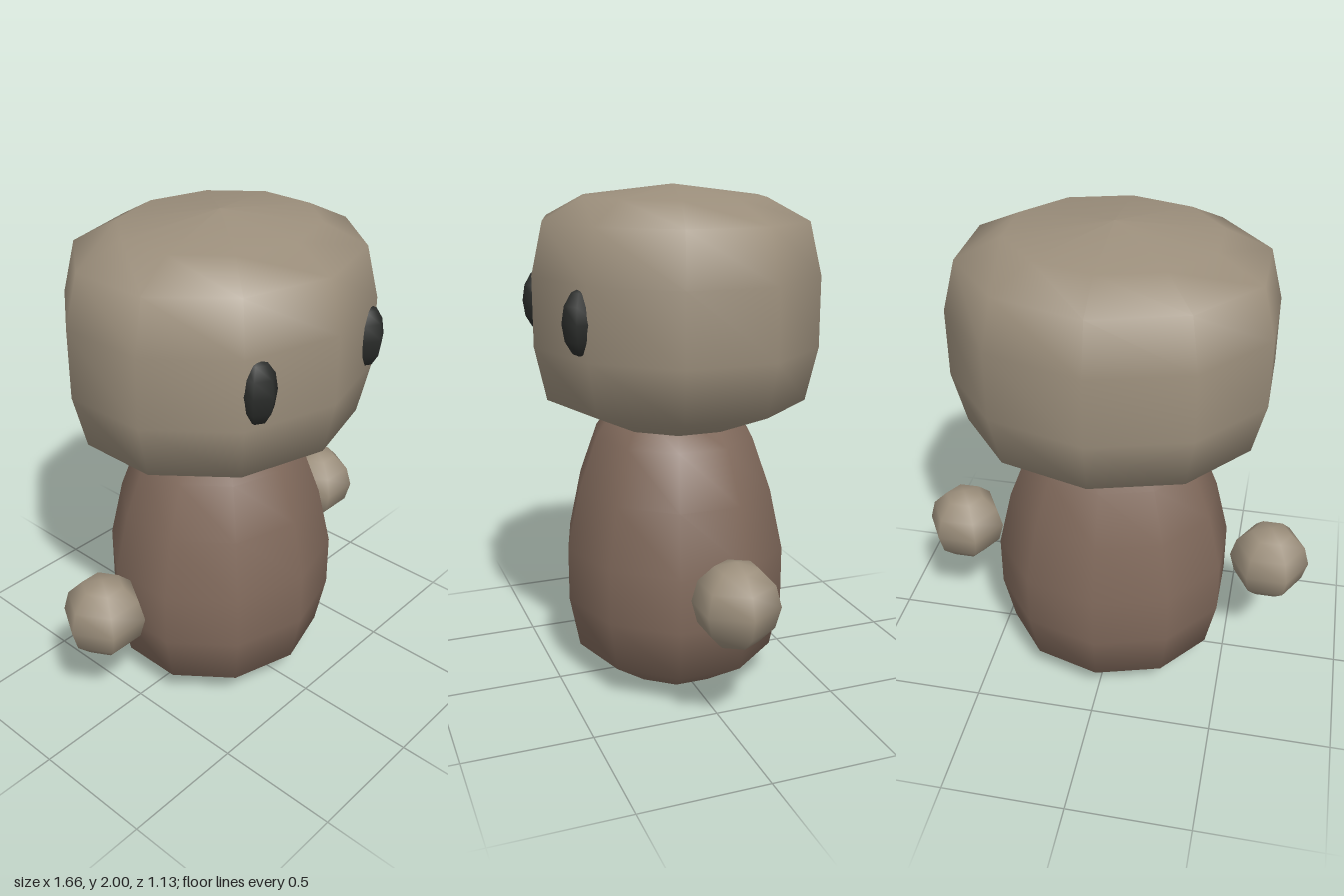
import * as THREE from 'three';

const SIDES = 10;
const skin = new THREE.MeshStandardMaterial({ color: 0x9c8f7c });
const cloth = new THREE.MeshStandardMaterial({ color: 0x80695b });
const black = new THREE.MeshStandardMaterial({ color: 0x2b2d2b });

function add(parent, name, geometry, material) {
  const mesh = new THREE.Mesh(geometry, material);
  mesh.name = name;
  parent.add(mesh);
  return mesh;
}

// Ten-sided turned shape from [radius, y] pairs, bottom to top, flattened in depth,
// with a flat disc closing its base
function turned(name, profile, depth, material) {
  const group = new THREE.Group();
  group.name = name;
  const points = profile.map(([r, y]) => new THREE.Vector2(r, y));
  add(group, name + 'Shell', new THREE.LatheGeometry(points, SIDES), material);
  const disc = new THREE.CircleGeometry(profile[0][0], SIDES, Math.PI / 2);
  disc.rotateX(Math.PI / 2);
  add(group, name + 'Base', disc, material).position.y = profile[0][1];
  group.scale.z = depth;
  return group;
}

export function createModel() {
  const model = new THREE.Group();
  model.name = 'figure';

  // Egg-shaped body, its top tucked into the head
  model.add(turned('body', [
    [0.245, 0], [0.45, 0.135], [0.495, 0.345], [0.495, 0.565],
    [0.437, 0.81], [0.355, 1.02], [0.25, 1.15], [0, 1.2],
  ], 0.91, cloth));

  // Wide rounded head
  model.add(turned('head', [
    [0.312, 1.08], [0.585, 1.19], [0.637, 1.4], [0.637, 1.67],
    [0.585, 1.87], [0.405, 1.955], [0, 2],
  ], 0.884, skin));

  for (const [side, s] of [['left', 1], ['right', -1]]) {
    // Floating ball hands
    const hand = add(model, side + 'Hand', new THREE.SphereGeometry(0.165, 6, 6), skin);
    hand.position.set(0.667 * s, 0.535, 0);

    // Tall eyes, half sunk in the face, with a corner pointing forward
    const eyeShape = new THREE.SphereGeometry(0.075, 6, 6);
    eyeShape.rotateY(Math.PI / 2);
    const eye = add(model, side + 'Eye', eyeShape, black);
    eye.scale.y = 1.68;
    eye.position.set(0.312 * s, 1.535, 0.457);
  }
  return model;
}
